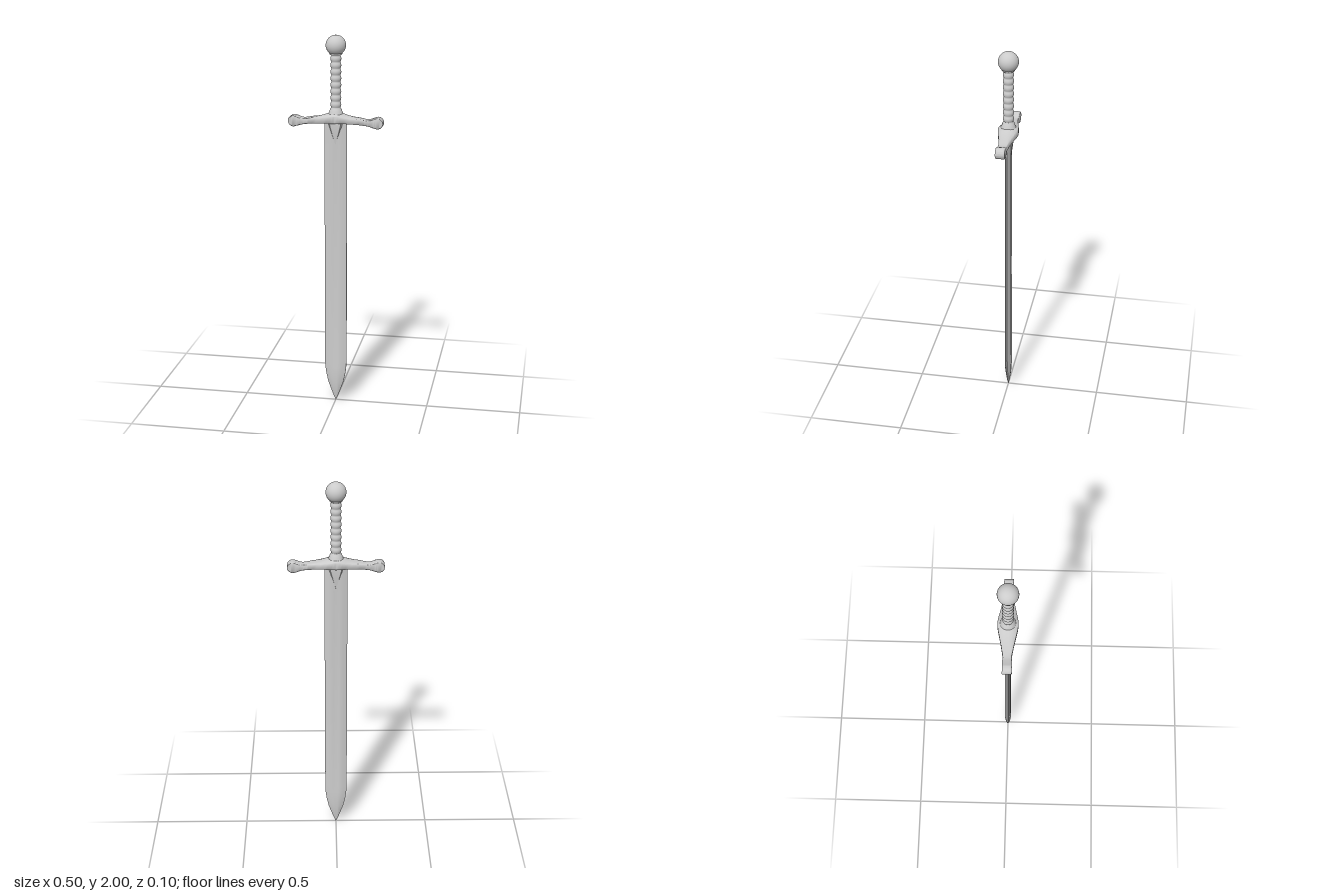
import * as THREE from 'three';
import { toCreasedNormals } from 'three/addons/utils/BufferGeometryUtils.js';

const material = new THREE.MeshStandardMaterial({ color: 0xcccccc });

function part(name, geometry, parent) {
  const mesh = new THREE.Mesh(geometry, material);
  mesh.name = name;
  parent.add(mesh);
  return mesh;
}

// Skins a list of equal-length rings of [x, y, z] and caps both ends.
function loft(rings, crease) {
  const n = rings[0].length, last = (rings.length - 1) * n, index = [];
  for (let i = 0; i < rings.length - 1; i++) {
    for (let j = 0; j < n; j++) {
      const a = i * n + j, b = i * n + (j + 1) % n;
      index.push(a, b, a + n, b, b + n, a + n);
    }
  }
  // Caps are strips, as every ring is symmetric front to back
  for (let j = 0; j < n / 2 - 1; j++) {
    const k = n - 1 - j;
    index.push(j, k, j + 1, j + 1, k, k - 1);
    index.push(last + j, last + j + 1, last + k, last + j + 1, last + k - 1, last + k);
  }
  const g = new THREE.BufferGeometry();
  g.setAttribute('position', new THREE.Float32BufferAttribute(rings.flat(2), 3));
  g.setIndex(index);
  return toCreasedNormals(g, crease);
}

// Piecewise linear lookup in [[x, y], ...]
function lookup(table, x) {
  let i = 1;
  while (i < table.length - 1 && x > table[i][0]) i++;
  const [x0, y0] = table[i - 1], [x1, y1] = table[i];
  return THREE.MathUtils.lerp(y0, y1, THREE.MathUtils.clamp((x - x0) / (x1 - x0), 0, 1));
}

// Closes a front half outline with its mirror image at the back
function mirrorRing(front) {
  return [...front, ...front.map(([x, y, z]) => [x, y, -z]).reverse()];
}

function bladeGeometry() {
  // height, half width, half thickness, fuller depth
  const stations = [
    [0.004, 0.0008, 0.001, 0], [0.03, 0.012, 0.007, 0], [0.07, 0.027, 0.012, 0],
    [0.11, 0.041, 0.016, 0], [0.16, 0.052, 0.017, 0], [0.2, 0.057, 0.017, 0],
    [0.24, 0.059, 0.016, 0.003], [0.8, 0.059, 0.015, 0.003], [1.42, 0.059, 0.015, 0.003],
    [1.46, 0.059, 0.016, 0], [1.56, 0.058, 0.017, 0],
  ];
  return loft(stations.map(([y, w, t, d]) => {
    const f = Math.min(0.017, 0.3 * w);
    const half = [[w, t * 0.2], [w * 0.65, t * 0.72], [f, t], [f * 0.5, t - d]];
    return mirrorRing([
      ...half.map(([x, z]) => [-x, y, z]),
      ...half.map(([x, z]) => [x, y, z]).reverse(),
    ]);
  }), 0.6);
}

// V-shaped reinforcement under the guard
function wedgeGeometry() {
  const stations = [[1.435, 0.001, 0.014], [1.49, 0.021, 0.021], [1.53, 0.035, 0.024], [1.56, 0.043, 0.024]];
  return loft(stations.map(([y, w, t]) =>
    mirrorRing([[-w, y, 0.009], [-w * 0.75, y, t], [w * 0.75, y, t], [w, y, 0.009]])), 0.4);
}

function guardGeometry() {
  const top = [[0, 1.61], [0.03, 1.602], [0.06, 1.59], [0.1, 1.579], [0.15, 1.57], [0.17, 1.569], [0.185, 1.572], [0.2, 1.578]];
  const bottom = [[0, 1.551], [0.06, 1.55], [0.12, 1.545], [0.15, 1.541], [0.17, 1.538], [0.185, 1.534], [0.2, 1.529]];
  const depth = [[0, 0.052], [0.03, 0.048], [0.07, 0.039], [0.12, 0.029], [0.155, 0.023], [0.17, 0.0225], [0.2, 0.024]];
  const knobX = 0.219, knobY = 1.554, knobR = 0.029;
  const xs = [0, 0.015, 0.03, 0.045, 0.06, 0.08, 0.1, 0.12, 0.14, 0.155, 0.17, 0.185];
  for (let i = 0; i <= 12; i++) xs.push(knobX - knobR * Math.cos(Math.PI * (0.27 + 0.728 * i / 12)));
  const stations = [...xs.slice(1).map(x => -x).reverse(), ...xs];
  return loft(stations.map(sx => {
    const x = Math.abs(sx), onKnob = x > 0.2;
    const r = Math.sqrt(Math.max(knobR ** 2 - (x - knobX) ** 2, 0));
    const yt = onKnob ? knobY + r : lookup(top, x);
    const yb = onKnob ? knobY - r : lookup(bottom, x);
    const z = lookup(depth, x);
    const drop = 0.018 * Math.max(0, 1 - x / 0.12);   // crowned upper face
    const c = Math.min(0.003, (yt - yb) * 0.2);       // softened edges
    return mirrorRing([
      [sx, yt, z * 0.1], [sx, yt - drop * 0.35, z * 0.5], [sx, yt - drop, z - 0.003], [sx, yt - drop - c, z],
      [sx, yb + c, z], [sx, yb, z - 0.003], [sx, yb, z * 0.1],
    ]);
  }), 0.8);
}

function gripGeometry() {
  // Flared foot, swelling ridges, then a collar under the pommel
  const pts = [[0.04, 1.594], [0.034, 1.606], [0.03, 1.62]];
  const ridges = 8, y0 = 1.627, y1 = 1.897, steps = 8;
  for (let i = 0; i <= ridges * steps; i++) {
    const u = i / steps;
    pts.push([0.0228 + 0.005 * Math.abs(Math.sin(Math.PI * u)), y0 + (y1 - y0) * u / ridges]);
  }
  pts.push([0.03, 1.9], [0.034, 1.906], [0.034, 1.916], [0.028, 1.92]);
  return new THREE.LatheGeometry(pts.map(p => new THREE.Vector2(...p)), 32);
}

export function createModel() {
  const sword = new THREE.Group();
  sword.name = 'sword';
  part('blade', bladeGeometry(), sword);
  part('bladeWedge', wedgeGeometry(), sword);
  part('crossguard', guardGeometry(), sword);
  part('grip', gripGeometry(), sword);
  part('pommel', new THREE.SphereGeometry(0.052, 32, 20), sword).position.y = 1.948;
  return sword;
}
